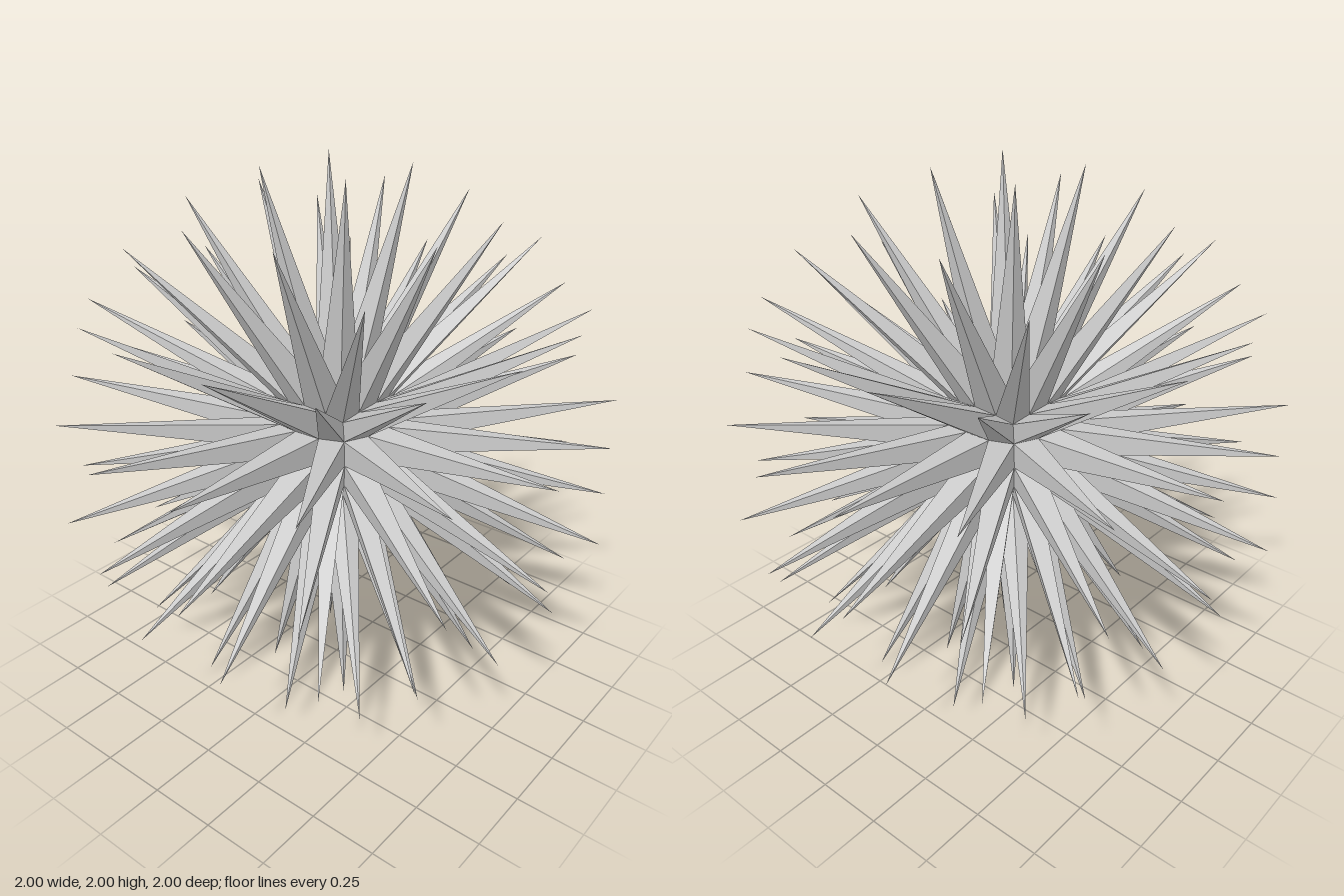
import * as THREE from 'three';

// Quarter of one side of the rounded-cube core: [out, across, up] by grid step 0..2
const CORE = {
  '00': [0.8785, 0, 0],
  '10': [0.8195, 0.351, 0],
  '11': [0.764, 0.3265, 0.3265],
  '20': [0.643, 0.643, 0],
  '21': [0.599, 0.599, 0.302],
  '22': [0.509, 0.509, 0.509],
};
const CORE_SCALE = 0.2846;
// Spike length for inner, edge and corner cells of a side
const LENGTHS = [0.79, 0.778, 0.784];

// Core point at grid position i, j (-2..2), mirrored from the quarter table
function corePoint(i, j) {
  const a = Math.abs(i), b = Math.abs(j);
  const [out, big, small] = CORE[`${Math.max(a, b)}${Math.min(a, b)}`];
  const u = a >= b ? big : small, v = a >= b ? small : big;
  return new THREE.Vector3(out, Math.sign(i) * u, Math.sign(j) * v).multiplyScalar(CORE_SCALE);
}

// Turn a point of the +x side onto another side of the core
function toSide(p, axis, sign) {
  const c = [p.x * sign, p.y, p.z];
  return new THREE.Vector3(c[(3 - axis) % 3], c[(4 - axis) % 3], c[(5 - axis) % 3]);
}

// Four-sided spike standing on one core cell, pointing along the cell's normal
function addSpike(positions, corners, length) {
  const centre = new THREE.Vector3();
  corners.forEach((c) => centre.addScaledVector(c, 0.25));
  const normal = corners[2].clone().sub(corners[0])
    .cross(corners[3].clone().sub(corners[1])).normalize();
  if (normal.dot(centre) < 0) {
    normal.negate();
    corners.reverse();
  }
  const tip = centre.addScaledVector(normal, length);
  corners.forEach((c, k) => {
    for (const p of [c, corners[(k + 1) % 4], tip]) positions.push(p.x, p.y, p.z);
  });
}

export function createModel() {
  const model = new THREE.Group();
  model.name = 'spikyBall';
  const material = new THREE.MeshStandardMaterial({ color: 0xcccccc, flatShading: true });

  // Six sides of 4 x 4 spikes each
  for (let axis = 0; axis < 3; axis++) {
    for (const sign of [1, -1]) {
      const positions = [];
      for (let i = -2; i < 2; i++) {
        for (let j = -2; j < 2; j++) {
          const corners = [[i, j], [i + 1, j], [i + 1, j + 1], [i, j + 1]]
            .map(([a, b]) => toSide(corePoint(a, b), axis, sign));
          const outer = (i === -2 || i === 1) + (j === -2 || j === 1);
          addSpike(positions, corners, LENGTHS[outer]);
        }
      }
      const geometry = new THREE.BufferGeometry();
      geometry.setAttribute('position', new THREE.Float32BufferAttribute(positions, 3));
      geometry.computeVertexNormals();
      const side = new THREE.Mesh(geometry, material);
      side.name = `spikes${'XYZ'[axis]}${sign > 0 ? 'Plus' : 'Minus'}`;
      side.position.y = 1;
      model.add(side);
    }
  }
  return model;
}
